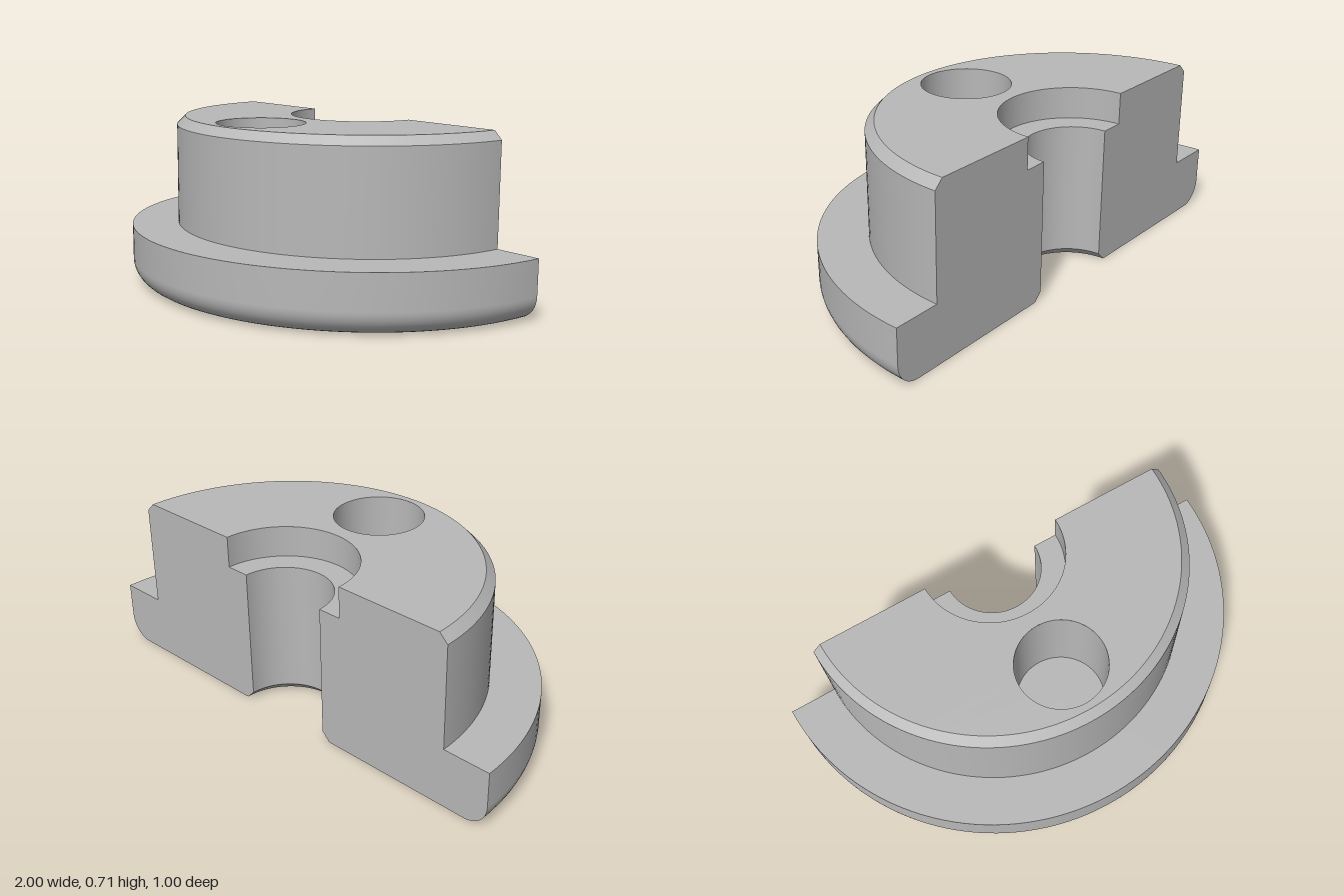
import * as THREE from 'three';

const AXIS_Z = -0.5; // the revolve axis lies in the cut plane
const TOP = 0.715, FLANGE_TOP = 0.25, R = 1, HUB = 0.8, FILLET = 0.1, CHAMFER = 0.036;
const BORE = 0.2, SEAT = 0.3, SEAT_Y = TOP - 0.13;
const HOLE = { r: 0.185, z: 0.55, depth: 0.4 };

export function createModel() {
  const group = new THREE.Group();
  const grey = new THREE.MeshStandardMaterial({ color: 0xb8b8b8 });

  const add = (name, geometry, z = AXIS_Z) => {
    const mesh = new THREE.Mesh(geometry, grey);
    mesh.name = name;
    mesh.position.z = z;
    group.add(mesh);
  };
  const v = (x, y) => new THREE.Vector2(x, y);

  // Rounded bottom edge running up into the flange wall
  const rim = [];
  for (let i = 0; i <= 10; i++) {
    const a = (i / 10) * Math.PI / 2;
    rim.push(v(R - FILLET + FILLET * Math.sin(a), FILLET - FILLET * Math.cos(a)));
  }
  rim.push(v(R, FLANGE_TOP));

  // Profile sections, counterclockwise, each revolved separately for sharp edges
  const sections = {
    underside: [v(BORE + CHAMFER, 0), rim[0]],
    flangeRim: rim,
    flangeTop: [v(R, FLANGE_TOP), v(HUB, FLANGE_TOP)],
    hubWall: [v(HUB, FLANGE_TOP), v(HUB, TOP - CHAMFER)],
    hubChamfer: [v(HUB, TOP - CHAMFER), v(HUB - CHAMFER, TOP)],
    counterboreWall: [v(SEAT, TOP), v(SEAT, SEAT_Y)],
    counterboreSeat: [v(SEAT, SEAT_Y), v(BORE, SEAT_Y)],
    boreWall: [v(BORE, SEAT_Y), v(BORE, CHAMFER)],
    boreChamfer: [v(BORE, CHAMFER), v(BORE + CHAMFER, 0)],
  };
  for (const [name, points] of Object.entries(sections)) {
    add(name, new THREE.LatheGeometry(points, 72, -Math.PI / 2, Math.PI));
  }

  // Hub top: half ring pierced by the round pocket
  const top = new THREE.Shape();
  top.absarc(0, 0, HUB - CHAMFER, Math.PI, 2 * Math.PI, false);
  top.lineTo(SEAT, 0);
  top.absarc(0, 0, SEAT, 2 * Math.PI, Math.PI, true);
  top.closePath();
  const hole = new THREE.Path();
  hole.absarc(0, -HOLE.z, HOLE.r, 0, 2 * Math.PI, true);
  top.holes.push(hole);
  add('hubTop', new THREE.ShapeGeometry(top, 72).rotateX(-Math.PI / 2).translate(0, TOP, 0));

  // Blind pocket
  const floor = TOP - HOLE.depth;
  add('pocketWall', new THREE.LatheGeometry([v(HOLE.r, TOP), v(HOLE.r, floor)], 72), AXIS_Z + HOLE.z);
  add('pocketFloor', new THREE.LatheGeometry([v(HOLE.r, floor), v(0, floor)], 72), AXIS_Z + HOLE.z);

  // Flat cut faces at the back, mirrored about the bore
  const profile = Object.values(sections).flatMap((points) => points.slice(0, -1));
  profile.splice(profile.findIndex((p) => p.x === SEAT && p.y === TOP), 0, v(HUB - CHAMFER, TOP));
  for (const side of [1, -1]) {
    const face = new THREE.Shape(profile.map((p) => v(side * p.x, p.y)));
    add(side > 0 ? 'rightCutFace' : 'leftCutFace', new THREE.ShapeGeometry(face).rotateY(Math.PI));
  }
  return group;
}
